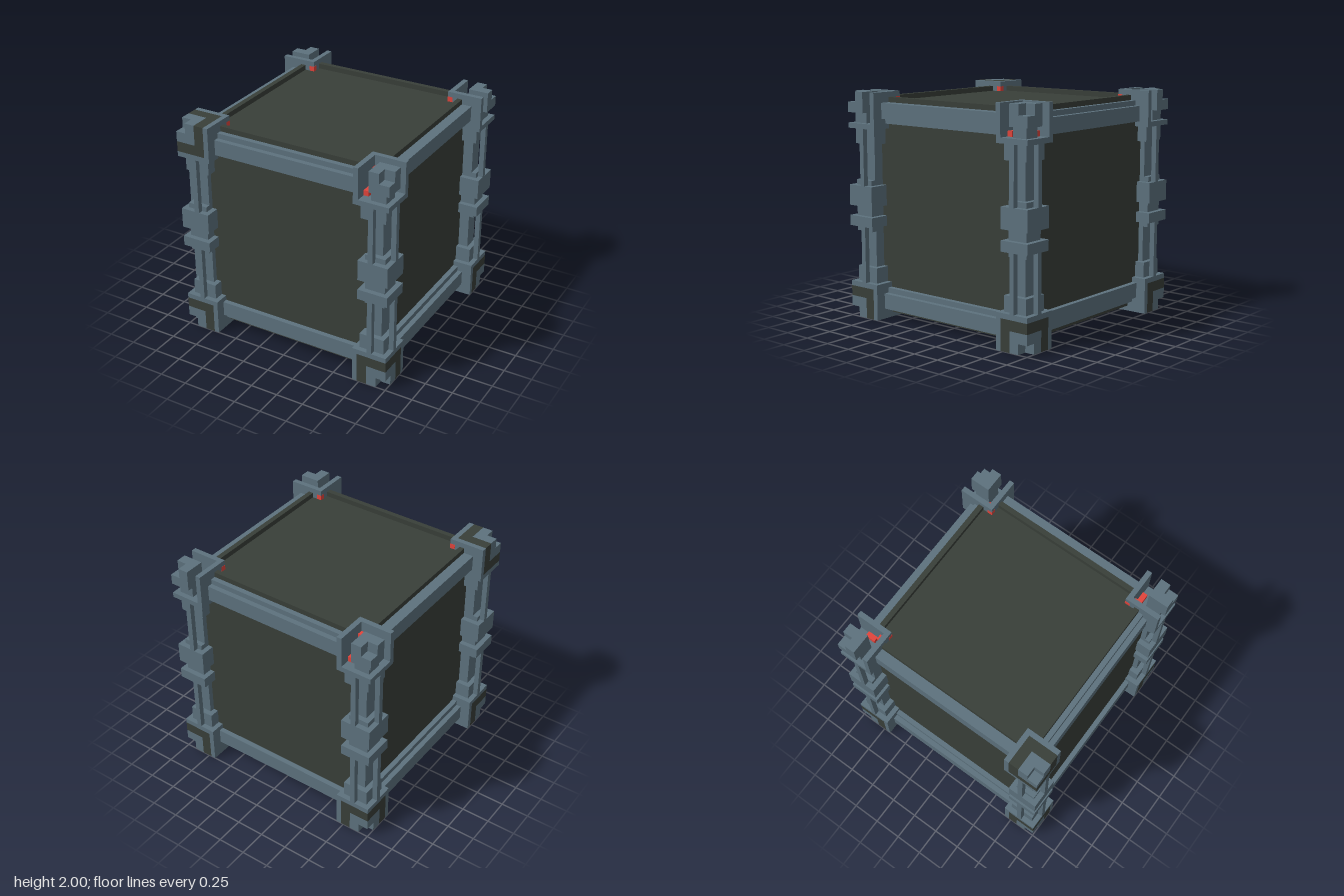
import * as THREE from 'three';

const U = 1 / 22; // grid unit; the cube spans -22..22 on each axis
const steel = new THREE.MeshStandardMaterial({ color: 0x5d727e });
const dark = new THREE.MeshStandardMaterial({ color: 0x393f39 });
const red = new THREE.MeshStandardMaterial({ color: 0xe2453c });
steel.name = 'steelBlue';
dark.name = 'darkPanel';
red.name = 'redAccent';

// Box from coordinate ranges, reflected into the octant given by the signs
function box(parent, name, mat, x, y, z, s = [1, 1, 1]) {
  const r = [x, y, z];
  const size = r.map(([a, b]) => (b - a) * U);
  const mid = r.map(([a, b], i) => ((a + b) / 2) * U * s[i]);
  const mesh = new THREE.Mesh(new THREE.BoxGeometry(...size), mat);
  mesh.position.set(...mid);
  mesh.name = name;
  parent.add(mesh);
}

function group(parent, name) {
  const g = new THREE.Group();
  g.name = name;
  parent.add(g);
  return g;
}

// Corner tray of three plates around a notched cube; sealed ones have dark filling
function corner(parent, s, open) {
  const g = group(parent, open ? 'openCorner' : 'sealedCorner');
  const add = (name, mat, x, y, z) => box(g, name, mat, x, y, z, s);
  add('sidePlate', steel, [15, 16], [15, 22], [15, 22]);
  add('floorPlate', steel, [16, 22], [15, 16], [15, 22]);
  add('backPlate', steel, [16, 22], [16, 22], [15, 16]);
  // cube with its outermost corner cut away
  add('cornerCube', steel, [18, 20], [18, 22], [18, 22]);
  add('cornerCube', steel, [20, 22], [18, 20], [18, 22]);
  add('cornerCube', steel, [20, 22], [20, 22], [18, 20]);
  // small light on the inner edge
  add('innerLight', red, [14.98, 16], [20, 21], [14.98, 16]);
  if (open) {
    add('cubeStem', steel, [18, 21], [16, 18], [18, 21]);
    add('cornerLight', red, [16, 17], [16, 17], [16, 17]);
    add('lightBarX', red, [18, 20], [16, 17], [16, 17]);
    add('lightBarZ', red, [16, 17], [16, 17], [18, 20]);
    add('lightBarY', red, [16, 17], [19, 20], [16, 17]);
  } else {
    add('darkBand', dark, [16, 18], [16, 22], [16, 22]);
    add('darkBand', dark, [18, 22], [16, 18], [16, 22]);
    add('darkBand', dark, [18, 22], [18, 22], [16, 18]);
  }
}

// Upright post with collars and two slim outer rods
function pillar(parent, sx, sz) {
  const g = group(parent, 'pillar');
  const s = [sx, 1, sz];
  const collars = [
    [16, 21, 12, 15], [17, 21, 4, 5], [16, 22, 0, 4], [17, 21, -2, 0],
    [16, 22, -4, -2], [17, 21, -5, -4], [16, 21, -15, -12],
  ];
  box(g, 'post', steel, [17, 20], [-15, 15], [17, 20], s);
  for (const [a, b, y0, y1] of collars) box(g, 'collar', steel, [a, b], [y0, y1], [a, b], s);
  for (const y of [[4, 15], [-15, -4]]) {
    box(g, 'rod', steel, [21, 22], y, [18, 19], s);
    box(g, 'rod', steel, [18, 19], y, [21, 22], s);
  }
}

export function createModel() {
  const model = new THREE.Group();
  const body = group(model, 'cube');
  body.position.y = 1;

  // Core panels, cut back at the eight corners
  const core = group(body, 'core');
  box(core, 'sidePanels', dark, [-18, 18], [-15, 15], [-19, 19]);
  for (const sy of [-1, 1]) {
    box(core, 'endPanel', dark, [-18, 18], [15, 20], [-15, 15], [1, sy, 1]);
    for (const sz of [-1, 1]) {
      box(core, 'panelEdge', dark, [-15, 15], [15, 16], [15, 19], [1, sy, sz]);
      box(core, 'endPanel', dark, [-15, 15], [16, 20], [15, 18], [1, sy, sz]);
    }
  }

  for (const sy of [-1, 1]) {
    for (const e of [-1, 1]) {
      // Front and back beams, stepped at the outer edge
      const fb = group(body, 'crossBeam');
      box(fb, 'beam', steel, [-15, 15], [16, 19], [18, 20], [1, sy, e]);
      box(fb, 'beamStep', steel, [-15, 15], [19, 20], [18, 19], [1, sy, e]);
      box(fb, 'edgeRail', dark, [-15, 15], [20, 21], [17, 18], [1, sy, e]);
      // Side beams, stepped at the inner edge
      const sd = group(body, 'sideBeam');
      box(sd, 'beam', steel, [18, 20], [17, 20], [-15, 15], [e, sy, 1]);
      box(sd, 'beamStep', steel, [18, 19], [16, 17], [-15, 15], [e, sy, 1]);
      box(sd, 'edgeRail', dark, [17, 18], [20, 21], [-15, 15], [e, sy, 1]);
    }
  }

  for (const sx of [-1, 1]) {
    for (const sz of [-1, 1]) {
      pillar(body, sx, sz);
      corner(body, [sx, -1, sz], false);
      corner(body, [sx, 1, sz], !(sx < 0 && sz > 0));
    }
  }
  return model;
}
